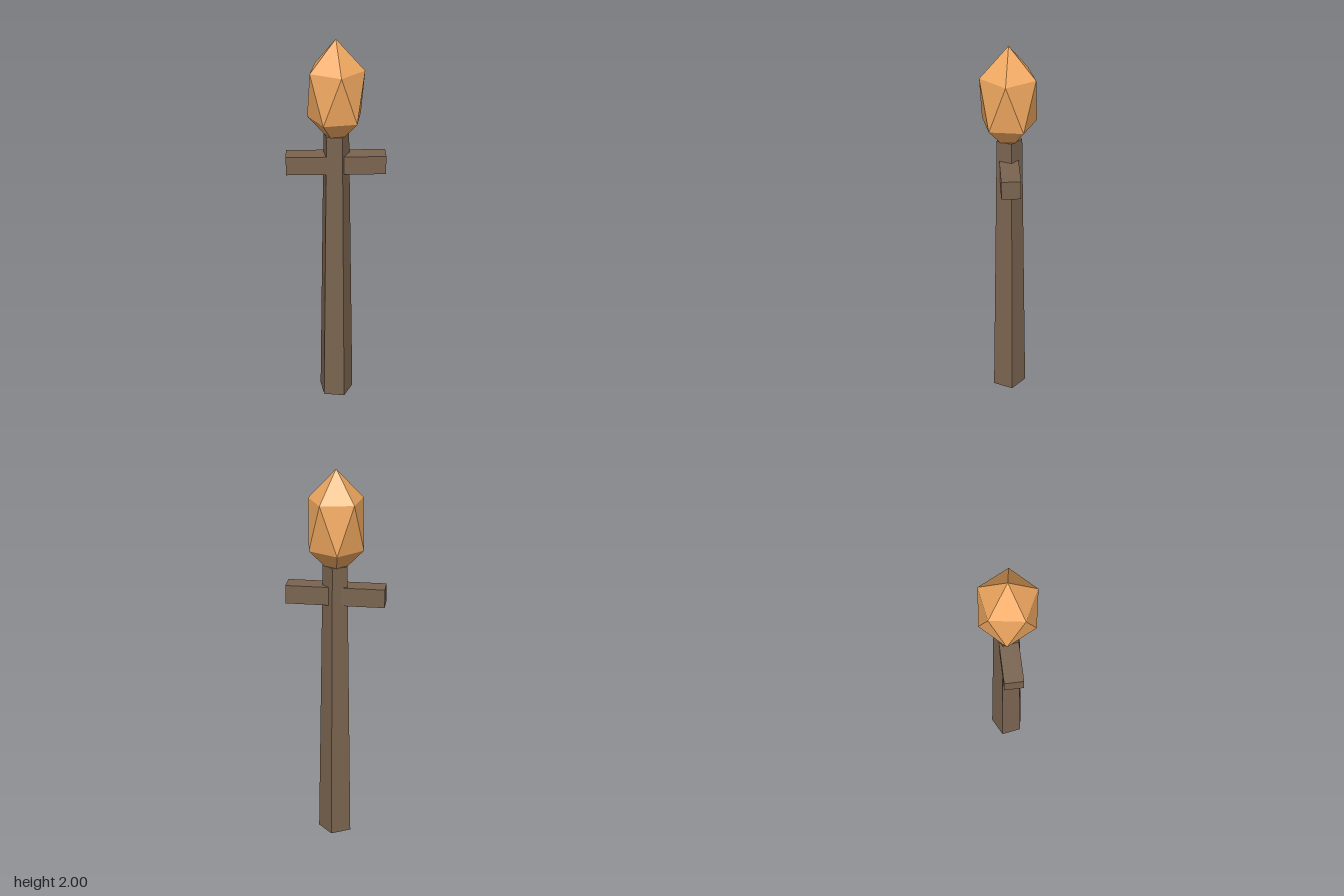
import * as THREE from 'three';

const WOOD = 0x7a6450;
const FLAME = 0xf0a860;

function part(name, geometry, color) {
  const material = new THREE.MeshStandardMaterial({ color, flatShading: true });
  const mesh = new THREE.Mesh(geometry, material);
  mesh.name = name;
  return mesh;
}

export function createModel() {
  const torch = new THREE.Group();
  torch.name = 'torch';

  // Tapered five-sided post with a flat face to the front
  const post = part('post', new THREE.CylinderGeometry(0.067, 0.094, 1.52, 5), WOOD);
  post.rotation.y = Math.PI;
  post.position.y = 0.76;

  // Crossbar, slightly turned about the post
  const crossbar = part('crossbar', new THREE.BoxGeometry(0.497, 0.095, 0.095), WOOD);
  crossbar.rotation.y = 0.15;
  crossbar.position.y = 1.3675;

  // Flame: icosahedron stood on a corner and stretched upwards
  const golden = (1 + Math.sqrt(5)) / 2;
  const flameShape = new THREE.IcosahedronGeometry(1, 0)
    .rotateX(-Math.atan(golden))
    .rotateY(Math.PI / 2)
    .scale(0.158, 0.273, 0.158);
  const flame = part('flame', flameShape, FLAME);
  flame.position.y = 1.727;

  torch.add(post, crossbar, flame);
  return torch;
}
